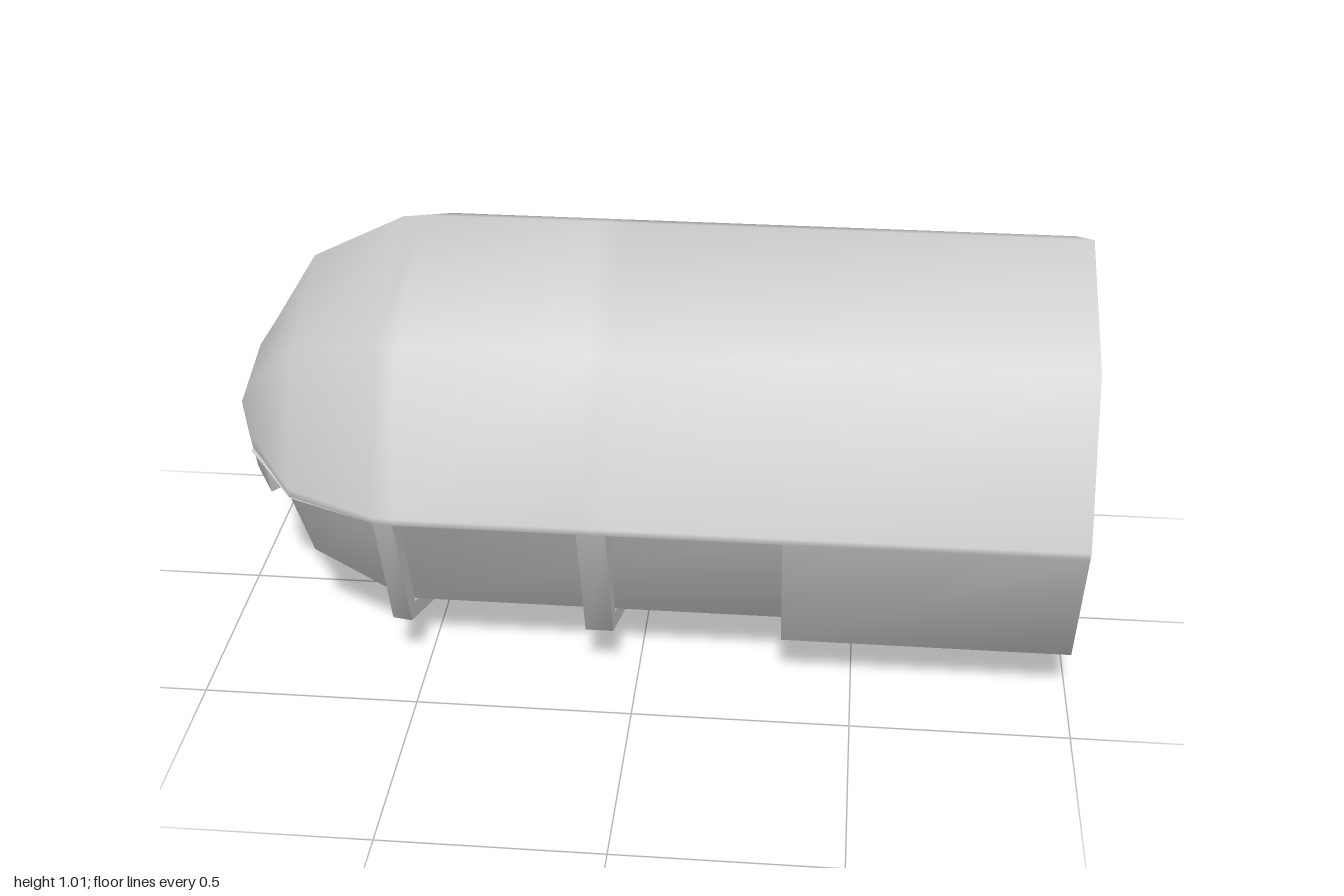
import * as THREE from 'three';

const CY = 0.5; // height of the hull axis
const lerp = (a, b, t) => a.map((v, i) => v + (b[i] - v) * t);

// [x, scale of section] along the hull
const STATIONS = [
  [-1, 0], [-0.94, 0.31], [-0.9, 0.43], [-0.79, 0.78], [-0.575, 0.99], [-0.53, 1],
  [-0.12, 1], [-0.055, 1], [0.335, 1], [1, 1],
];
const WINDOW_SPANS = [2, 3, 5, 7]; // spans between stations that are cut open
const END_SPAN = STATIONS.length - 2;

// Height of the window tops below the axis, growing towards the nose
const sillDrop = s => 0.02 + 0.04 * (1 - s);

const mirrored = half => {
  const closed = half[0][0] === 0; // starts on the centre line
  const back = half.slice(closed ? 1 : 0, -1).reverse();
  return [...half, ...back.map(([z, y]) => [-z, y])];
};

// Octagonal section with extra points for the window sill and keel
function hullRing([x, s]) {
  const side = [0.515, 0], low = [0.365, -0.365];
  const sill = lerp(side, low, Math.min(sillDrop(s) / (0.365 * Math.max(s, 0.1)), 0.5));
  const half = [[0, 0.51], [0.365, 0.36], side, sill, low, [0.05, -0.498], [0, -0.5]];
  return mirrored(half).map(([z, y]) => [x, CY + y * s, z * s]);
}

function geometryFrom(points, index) {
  const g = new THREE.BufferGeometry();
  g.setAttribute('position', new THREE.Float32BufferAttribute(points.flat(), 3));
  if (index) g.setIndex(index);
  g.computeVertexNormals();
  return g;
}

// Smooth skin over the rings, skipping cells rejected by the test
function skin(rings, closed, keep = () => true) {
  const n = rings[0].length, index = [];
  for (let i = 0; i < rings.length - 1; i++) {
    for (let k = 0; k < (closed ? n : n - 1); k++) {
      if (!keep(i, k)) continue;
      const a = i * n + k, c = i * n + (k + 1) % n;
      index.push(a, c, a + n, c, c + n, a + n);
    }
  }
  return geometryFrom(rings.flat(), index);
}

export function createModel() {
  const group = new THREE.Group();
  const hullGrey = new THREE.MeshStandardMaterial({ color: 0xcccccc, side: THREE.DoubleSide });
  hullGrey.name = 'hullGrey';
  const add = (name, geometry) => {
    const mesh = new THREE.Mesh(geometry, hullGrey);
    mesh.name = name;
    group.add(mesh);
  };

  // Outer hull with window openings
  const rings = STATIONS.map(hullRing);
  const column = k => (k < 6 ? k : 11 - k);
  const solid = (i, k) => !(WINDOW_SPANS.includes(i) && [3, 4].includes(column(k)));
  add('outerHull', skin(rings, true, solid));

  // Bevelled thickness of the sills, ribs and keel
  const inward = ([x, y, z]) => [x, CY + (y - CY) * 0.93, z * 0.88];
  const faces = [];
  const quad = (a, b, c, d) => faces.push(a, b, c, a, c, d);
  for (let i = 2; i <= END_SPAN; i++) {
    for (let k = 2; k < 10; k++) {
      if (!solid(i, k)) continue;
      const a = rings[i][k], c = rings[i][k + 1], d = rings[i + 1][k + 1], b = rings[i + 1][k];
      if (i < END_SPAN && column(k) > 2) quad(...[a, b, d, c].map(inward));
      const wall = (p, q, open) => open && quad(q, p, inward(p), inward(q));
      wall(a, c, !solid(i - 1, k));
      wall(d, b, !solid(i + 1, k));
      wall(c, d, !solid(i, k + 1));
      wall(b, a, !solid(i, k - 1));
    }
  }
  add('windowFrames', geometryFrom(faces));

  // Recessed lower lining behind the windows, flaring out to the open end
  const liningHalf = [[0.48, -0.02], [0.425, -0.045], [0.3, -0.345], [0, -0.465]];
  const rimHalf = [[0.51, -0.002], [0.498, -0.02], [0.355, -0.357], [0, -0.488]];
  const liningRing = (x, s, half) => mirrored(half).map(([z, y]) => [x, CY + y * s, z * s]);
  add('innerLining', skin([
    ...[[-0.97, 0], [-0.94, 0.22], [-0.9, 0.34], [-0.785, 0.77], [-0.575, 0.98], [-0.53, 1], [0.335, 1]]
      .map(([x, s]) => liningRing(x, s, liningHalf)),
    liningRing(1, 1, rimHalf),
  ], false));

  // Thin deck, dropping from the open end to the tops of the windows
  add('deck', skin(STATIONS.slice(1).map(([x, s]) => {
    const y = CY - (x === 1 ? 0 : sillDrop(s)), z = 0.506 * s;
    return [[x, y, -z], [x, y, z]];
  }), false));

  return group;
}
